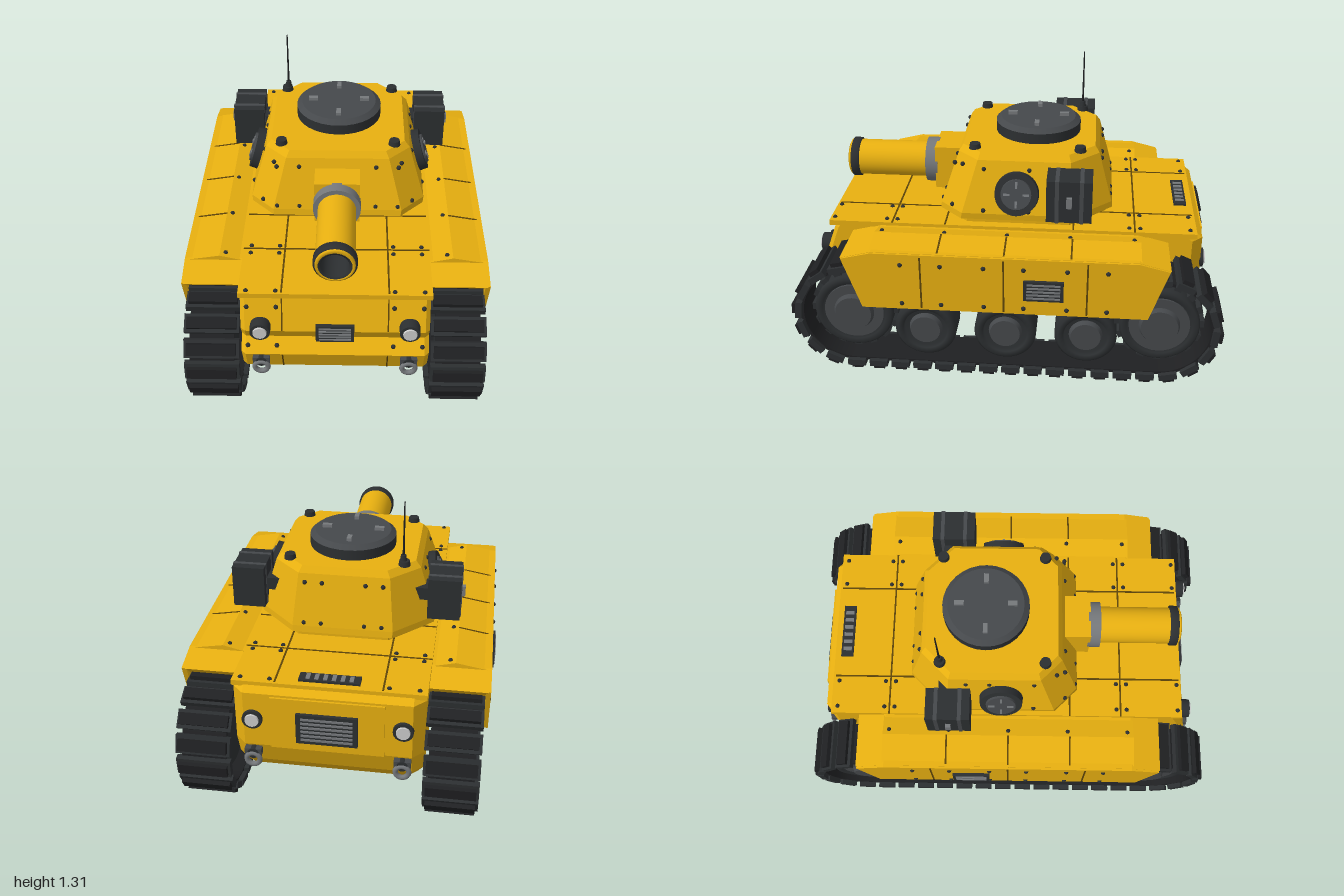
import * as THREE from 'three';

const mat = (color) => new THREE.MeshStandardMaterial({ color });
const M = {
  yellow: mat(0xe8b010), seam: mat(0x5e4508), dark: mat(0x2c2f31), grey: mat(0x45484b),
  black: mat(0x1f2022), steel: mat(0x75787b), lens: mat(0xd5d8d8), bore: mat(0x050505),
};

export function createModel() {
  const root = new THREE.Group();

  const add = (name, geo, m, x = 0, y = 0, z = 0, parent = root) => {
    const mesh = new THREE.Mesh(geo, m);
    mesh.name = name;
    mesh.position.set(x, y, z);
    parent.add(mesh);
    return mesh;
  };
  const box = (name, m, w, h, d, x, y, z, parent) =>
    add(name, new THREE.BoxGeometry(w, h, d), m, x, y, z, parent);
  const disc = (name, m, r0, r1, h, x, y, z, axis = 'y', parent = root) => {
    const c = add(name, new THREE.CylinderGeometry(r1, r0, h, 32), m, x, y, z, parent);
    if (axis === 'z') c.rotation.x = Math.PI / 2;
    if (axis === '-z') c.rotation.x = -Math.PI / 2;
    if (axis === 'x') c.rotation.z = -Math.PI / 2;
    if (axis === '-x') c.rotation.z = Math.PI / 2;
    return c;
  };
  const boltGeo = new THREE.SphereGeometry(0.011, 8, 6);
  const bolt = (x, y, z) => add('bolt', boltGeo, M.dark, x, y, z);
  const shape = (pts) => new THREE.Shape(pts.map(([a, b]) => new THREE.Vector2(a, b)));

  // Side profile given as (z, y), extruded across x from x0 to x0 + width
  const sidePlate = (name, m, pts, x0, width) => {
    const g = new THREE.ExtrudeGeometry(shape(pts.map(([z, y]) => [-z, y])), { depth: width, bevelEnabled: false });
    return add(name, g.rotateY(Math.PI / 2), m, x0, 0, 0);
  };

  // Stack of chamfered rectangles: [y, halfWidth, zFront, zRear, chamferFront, chamferRear]
  const loft = (name, m, rows) => {
    const pos = [];
    const rings = rows.map(([y, w, f, r, cf, cr]) => [
      [w, y, f - cf], [w, y, r + cr], [w - cr, y, r], [cr - w, y, r],
      [-w, y, r + cr], [-w, y, f - cf], [cf - w, y, f], [w - cf, y, f]]);
    const n = 8, last = rings[rings.length - 1];
    for (let i = 0; i < n; i++) {
      const j = (i + 1) % n;
      for (let k = 0; k + 1 < rings.length; k++) {
        const [a, b, c, d] = [rings[k][i], rings[k][j], rings[k + 1][j], rings[k + 1][i]];
        pos.push(...a, ...b, ...c, ...a, ...c, ...d);
      }
      pos.push(0, last[0][1], 0, ...last[i], ...last[j]);
      pos.push(0, rings[0][0][1], 0, ...rings[0][j], ...rings[0][i]);
    }
    const g = new THREE.BufferGeometry();
    g.setAttribute('position', new THREE.Float32BufferAttribute(pos, 3));
    g.computeVertexNormals();
    return add(name, g, m);
  };

  // Louvred grille facing +z, turned by rx, ry
  const grille = (name, w, h, x, y, z, rx, ry, slats, upright) => {
    const g = new THREE.Group();
    g.name = name;
    box('grilleFrame', M.dark, w, h, 0.02, 0, 0, 0, g);
    for (let i = 0; i < slats; i++) {
      const t = (i + 0.5) / slats - 0.5;
      if (upright) box('slat', M.steel, w / slats * 0.4, h * 0.7, 0.012, t * w * 0.85, 0, 0.008, g);
      else box('slat', M.steel, w * 0.84, h / slats * 0.4, 0.012, 0, t * h * 0.85, 0.008, g);
    }
    g.position.set(x, y, z);
    g.rotation.set(rx, ry, 0);
    root.add(g);
  };

  // Hull and deck
  loft('hull', M.yellow, [
    [0.18, 0.39, 0.80, -0.80, 0.02, 0.04], [0.25, 0.42, 0.87, -0.86, 0.02, 0.05],
    [0.36, 0.42, 0.91, -0.90, 0.02, 0.05], [0.42, 0.42, 0.855, -0.90, 0.02, 0.05],
    [0.48, 0.42, 0.885, -0.90, 0.02, 0.05], [0.63, 0.42, 0.83, -0.90, 0.02, 0.05],
    [0.66, 0.42, 0.81, -0.86, 0.02, 0.05]]);
  box('deck', M.yellow, 0.85, 0.025, 1.72, 0, 0.658, -0.01);
  for (const z of [-0.585, -0.3, 0.3, 0.55]) box('deckSeam', M.seam, 0.85, 0.003, 0.008, 0, 0.671, z);
  box('rearPlate', M.yellow, 0.5, 0.26, 0.02, 0, 0.49, -0.9);
  grille('frontGrille', 0.17, 0.085, 0, 0.473, 0.885, -0.1, 0, 5);
  grille('rearGrille', 0.27, 0.15, 0, 0.48, -0.915, 0, Math.PI, 6);
  grille('deckGrille', 0.27, 0.06, 0, 0.67, -0.81, -Math.PI / 2, 0, 6, true);

  // Track loop helpers
  const CZ = 0.71, CY = 0.29;
  const stadium = (r, P) => {
    const s = new P();
    s.absarc(CZ, CY, r, -Math.PI / 2, Math.PI / 2, false);
    s.absarc(-CZ, CY, r, Math.PI / 2, Math.PI * 1.5, false);
    s.closePath();
    return s;
  };
  const bandShape = stadium(0.25, THREE.Shape);
  bandShape.holes.push(stadium(0.235, THREE.Path));
  const bandGeo = new THREE.ExtrudeGeometry(bandShape, { depth: 0.2, bevelEnabled: false, curveSegments: 32 })
    .translate(0, 0, -0.1).rotateY(-Math.PI / 2);
  const padGeo = new THREE.BoxGeometry(0.245, 0.03, 0.085);
  const ridgeGeo = new THREE.BoxGeometry(0.22, 0.025, 0.052);
  const LINKS = 42, R = 0.25, straight = 2 * CZ, arc = Math.PI * R, total = 2 * (straight + arc);
  const trackAt = (s) => { // returns z, y and outward angle
    if (s < straight) return [-CZ + s, CY, -Math.PI / 2];
    s -= straight;
    if (s < arc) return [CZ, CY, -Math.PI / 2 + s / R];
    s -= arc;
    if (s < straight) return [CZ - s, CY, Math.PI / 2];
    return [-CZ, CY, Math.PI / 2 + (s - straight) / R];
  };

  // Wheel profiles (radius, offset outward)
  const wheelGeo = (pts) => new THREE.LatheGeometry(pts.map(([r, h]) => new THREE.Vector2(r, h)), 32);
  const roadGeo = wheelGeo([[0, -0.08], [0.13, -0.08], [0.145, -0.065], [0.145, 0.065], [0.13, 0.08],
    [0.105, 0.08], [0.1, 0.06], [0, 0.06]]);
  const gearGeo = wheelGeo([[0, -0.08], [0.17, -0.08], [0.185, -0.07], [0.185, 0.07], [0.175, 0.08],
    [0.15, 0.08], [0.14, 0.065], [0, 0.065]]);

  for (const s of [-1, 1]) {
    const out = s > 0 ? 'x' : '-x';

    // Track
    add('trackBand', bandGeo, M.black, s * 0.545, 0, 0);
    for (let i = 0; i < LINKS; i++) {
      const [z, y, a] = trackAt((i + 0.5) / LINKS * total);
      const link = new THREE.Group();
      link.name = 'trackLink';
      add('pad', padGeo, M.dark, 0, 0.255, 0, link);
      add('ridge', ridgeGeo, M.black, 0, 0.2775, 0, link);
      link.position.set(s * 0.545, y, z);
      link.rotation.x = Math.PI / 2 - a;
      root.add(link);
    }

    // Wheels
    for (const z of [-0.375, 0, 0.375]) {
      add('roadWheel', roadGeo, M.dark, s * 0.55, 0.22, z).rotation.z = -s * Math.PI / 2;
      disc('wheelHub', M.grey, 0.08, 0.07, 0.03, s * 0.62, 0.22, z, out);
    }
    for (const z of [-CZ, CZ]) {
      add('sprocket', gearGeo, M.dark, s * 0.55, 0.3, z).rotation.z = -s * Math.PI / 2;
      disc('sprocketDisc', M.grey, 0.14, 0.14, 0.01, s * 0.62, 0.3, z, out);
      disc('sprocketHub', M.grey, 0.1, 0.085, 0.035, s * 0.63, 0.3, z, out);
      for (let i = 0; i < 16; i++) {
        const a = i / 16 * Math.PI * 2;
        box('tooth', M.dark, 0.1, 0.03, 0.035, s * 0.55, 0.3 + 0.19 * Math.sin(a), z + 0.19 * Math.cos(a)).rotation.x = -a + Math.PI / 2;
      }
    }

    // Fender with sloped ends and a low crown, and side skirt
    sidePlate('fender', M.yellow, [[0.69, 0.57], [0.74, 0.62], [0.6, 0.655], [-0.6, 0.655], [-0.74, 0.62], [-0.69, 0.57]],
      s > 0 ? 0.42 : -0.68, 0.26);
    add('fenderCrown', new THREE.ExtrudeGeometry(
      shape([[s * 0.42, 0.65], [s * 0.685, 0.65], [s * 0.53, 0.677]]), { depth: 1.22, bevelEnabled: false }), M.yellow, 0, 0, -0.61);
    sidePlate('skirt', M.yellow, [[0.65, 0.37], [0.735, 0.62], [0.6, 0.653], [-0.6, 0.653], [-0.735, 0.62], [-0.65, 0.37]],
      s > 0 ? 0.668 : -0.69, 0.022);
    for (const z of [-0.375, 0, 0.375]) {
      box('skirtSeam', M.seam, 0.003, 0.265, 0.008, s * 0.69, 0.51, z);
      for (const dz of [-0.09, 0.09]) for (const y of [0.4, 0.6]) bolt(s * 0.69, y, z + dz);
    }
    for (const z of [-0.3, 0, 0.3]) {
      const seam = box('fenderSeam', M.seam, 0.16, 0.003, 0.008, s * 0.608, 0.664, z);
      seam.rotation.z = -s * 0.172;
    }
    for (let i = 0; i < 5; i++) bolt(s * 0.505, 0.67, -0.58 + i * 0.29);
    grille('sideGrille', 0.18, 0.1, s * 0.695, 0.5, -0.18, 0, s * Math.PI / 2, 5);

    // Panel seams and bolts on deck and nose
    box('deckSeam', M.seam, 0.008, 0.003, 1.7, s * 0.235, 0.671, -0.01);
    box('noseSeam', M.seam, 0.006, 0.155, 0.004, s * 0.235, 0.555, 0.857).rotation.x = -0.35;
    box('noseSeam', M.seam, 0.006, 0.115, 0.004, s * 0.235, 0.305, 0.891).rotation.x = 0.35;
    for (const x of [0.26, 0.39]) {
      for (const z of [-0.84, -0.61, -0.56, 0.53, 0.58, 0.83]) bolt(s * x, 0.67, z);
      bolt(s * x, 0.59, 0.847);
      bolt(s * x, 0.39, 0.884);
    }

    // Lamps and tow hooks at both ends
    for (const e of [-1, 1]) {
      const ax = e > 0 ? 'z' : '-z';
      disc('lampRim', M.dark, 0.047, 0.045, 0.05, s * 0.33, 0.5, e * 0.89, ax);
      disc('lampLens', M.lens, 0.034, 0.03, 0.02, s * 0.33, 0.5, e * 0.913, ax);
      disc('hookMount', M.dark, 0.025, 0.025, 0.06, s * 0.33, 0.33, e * 0.9, ax);
      add('towHook', new THREE.TorusGeometry(0.03, 0.012, 8, 20), M.steel, s * 0.33, 0.3, e * 0.925);
      box('hookPlate', M.grey, 0.075, 0.035, 0.03, s * 0.33, 0.335, e * 0.912);
    }

    // Turret side hatch, stowage box and fittings
    const hatch = new THREE.Group();
    hatch.name = 'sideHatch';
    disc('hatchRim', M.dark, 0.105, 0.1, 0.05, 0, 0, 0, 'y', hatch);
    disc('hatchCover', M.grey, 0.075, 0.07, 0.02, 0, 0.025, 0, 'y', hatch);
    for (let i = 0; i < 4; i++)
      box('hatchTab', M.steel, 0.03, 0.01, 0.01, 0.045 * Math.cos(i * Math.PI / 2), 0.035, 0.045 * Math.sin(i * Math.PI / 2), hatch).rotation.y = i * Math.PI / 2;
    hatch.position.set(s * 0.395, 0.83, -0.035);
    hatch.rotation.z = -s * (Math.PI / 2 - 0.3);
    root.add(hatch);
    box('stowageBox', M.dark, 0.15, 0.2, 0.205, s * 0.455, 0.862, -0.28);
    for (const z of [-0.225, -0.335]) box('stowageStrap', M.grey, 0.155, 0.205, 0.018, s * 0.456, 0.862, z);
    box('stowageLatch', M.steel, 0.02, 0.05, 0.025, s * 0.538, 0.865, -0.28);
    box('stowageBracket', M.dark, 0.1, 0.06, 0.1, s * 0.36, 0.86, -0.28);
    for (const z of [-0.32, 0.17]) disc('roofStud', M.dark, 0.028, 0.024, 0.025, s * 0.265, 1.01, z);
    for (const x of [0.18, 0.285]) { bolt(s * x, 0.93, 0.264); bolt(s * x, 0.745, 0.322); }
    for (const x of [0.1, 0.18]) { bolt(s * x, 0.93, -0.422); bolt(s * x, 0.745, -0.468); }
    for (const z of [-0.2, -0.09, 0.12]) { bolt(s * 0.35, 0.93, z); bolt(s * 0.409, 0.745, z); }
    bolt(s * 0.355, 0.745, 0.272);
    bolt(s * 0.3, 0.93, 0.226);
  }

  // Turret
  loft('turret', M.yellow, [
    [0.66, 0.38, 0.30, -0.45, 0.1, 0.17], [0.695, 0.38, 0.30, -0.45, 0.1, 0.17],
    [0.7, 0.41, 0.335, -0.48, 0.11, 0.18], [0.73, 0.413, 0.33, -0.475, 0.11, 0.18],
    [0.97, 0.34, 0.25, -0.41, 0.1, 0.13], [1.0, 0.315, 0.23, -0.39, 0.09, 0.12]]);
  disc('cupolaBase', M.dark, 0.205, 0.205, 0.05, 0, 1.025, -0.11);
  disc('cupolaLid', M.grey, 0.205, 0.18, 0.02, 0, 1.06, -0.11);
  for (let i = 0; i < 4; i++) {
    const a = i * Math.PI / 2;
    box('cupolaTab', M.steel, 0.045, 0.018, 0.022, 0.125 * Math.cos(a), 1.076, -0.11 - 0.125 * Math.sin(a)).rotation.y = a;
  }
  disc('antennaBase', M.dark, 0.018, 0.012, 0.04, -0.26, 1.03, -0.32);
  disc('antenna', M.black, 0.005, 0.003, 0.28, -0.26, 1.17, -0.32);

  // Gun: mantlet, collar and hollow barrel
  box('mantlet', M.yellow, 0.21, 0.215, 0.16, 0, 0.815, 0.31);
  disc('gunCollar', M.steel, 0.11, 0.11, 0.06, 0, 0.815, 0.41, 'z');
  const tube = (name, m, pts) => {
    add(name, wheelGeo(pts), m, 0, 0.815, 0).rotation.x = Math.PI / 2;
  };
  tube('barrel', M.yellow, [[0.088, 0.4], [0.088, 0.825], [0.075, 0.832], [0.075, 0.82]]);
  tube('muzzleRing', M.dark, [[0.085, 0.775], [0.097, 0.78], [0.097, 0.815], [0.085, 0.82]]);
  tube('boreLining', M.dark, [[0.076, 0.828], [0.062, 0.825], [0.062, 0.6]]);
  disc('boreEnd', M.bore, 0.063, 0.063, 0.01, 0, 0.815, 0.62, 'z');

  return root;
}
